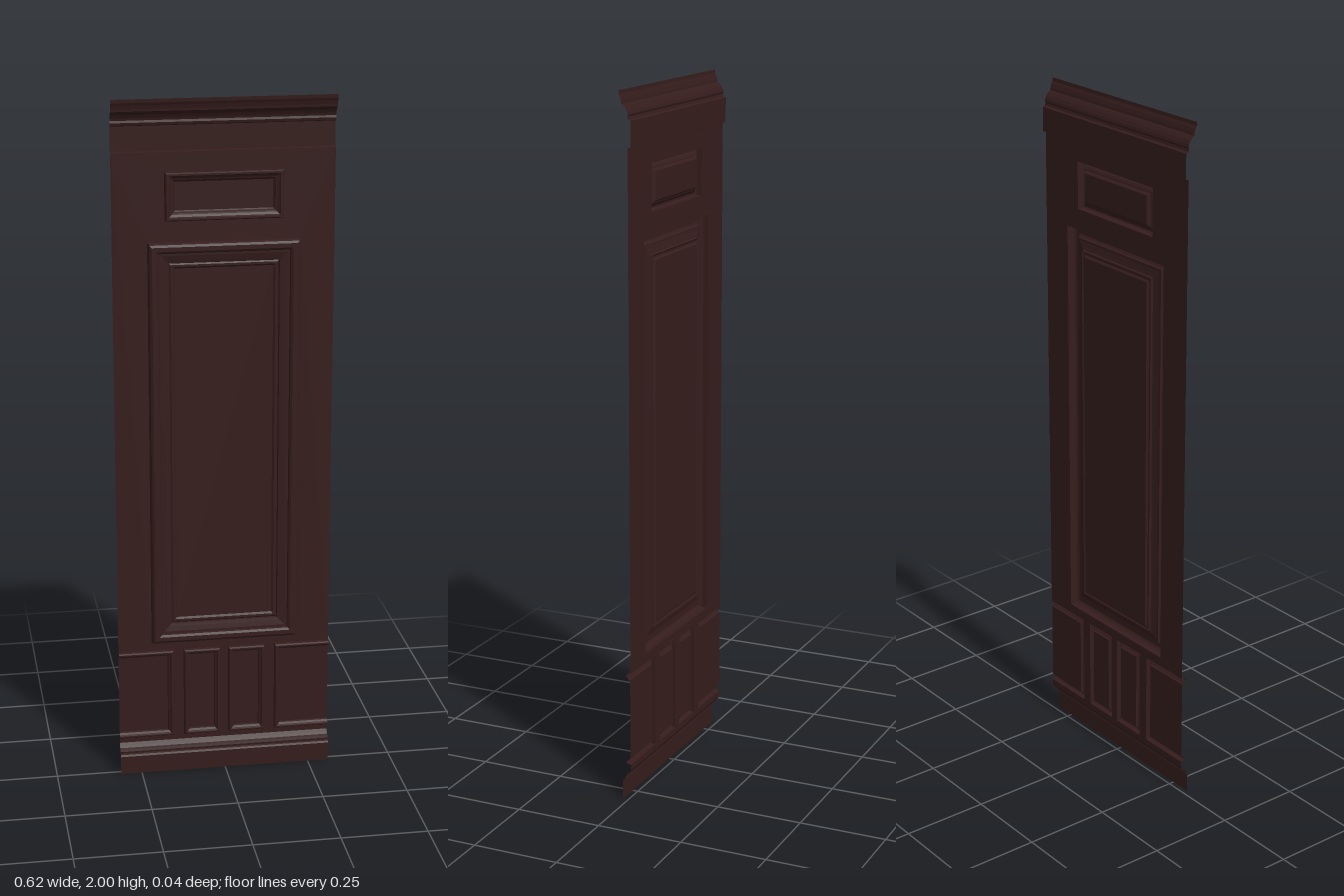
import * as THREE from 'three';

const HALF_WIDTH = 0.312;
const WALL_Z = -0.009;

const wood = new THREE.MeshStandardMaterial({ color: 0x351d1c, side: THREE.DoubleSide, flatShading: true });

function makeMesh(name, geometry) {
  const mesh = new THREE.Mesh(geometry, wood);
  mesh.name = name;
  return mesh;
}

// Builds a thin sheet from four-cornered faces, corners counter-clockwise from the front.
function quadMesh(name, quads) {
  const positions = [];
  for (const [a, b, c, d] of quads) positions.push(...a, ...b, ...c, ...a, ...c, ...d);
  const geometry = new THREE.BufferGeometry();
  geometry.setAttribute('position', new THREE.Float32BufferAttribute(positions, 3));
  geometry.computeVertexNormals();
  return makeMesh(name, geometry);
}

// Full-width moulding: a [y, z] profile listed upwards and drawn along x.
function horizontalMoulding(name, profile) {
  const quads = [];
  for (let i = 0; i < profile.length - 1; i++) {
    const [y0, z0] = profile[i];
    const [y1, z1] = profile[i + 1];
    quads.push([
      [-HALF_WIDTH, y0, z0], [HALF_WIDTH, y0, z0],
      [HALF_WIDTH, y1, z1], [-HALF_WIDTH, y1, z1],
    ]);
  }
  return quadMesh(name, quads);
}

// Corners of a panel's outline moved inwards; sides on the wall's edge stay put.
function insetCorners({ x0, x1, y0, y1 }, [inset, z]) {
  const left = x0 <= -HALF_WIDTH ? x0 : x0 + inset;
  const right = x1 >= HALF_WIDTH ? x1 : x1 - inset;
  return [
    [left, y0 + inset, z], [right, y0 + inset, z],
    [right, y1 - inset, z], [left, y1 - inset, z],
  ];
}

// Mitred frame with an [inset, z] profile, and the flat field inside it.
function framedPanel(name, rect, profile) {
  const rings = profile.map((point) => insetCorners(rect, point));
  const quads = [];
  for (let i = 0; i < rings.length - 1; i++) {
    for (let k = 0; k < 4; k++) {
      const next = (k + 1) % 4;
      const openLeft = k === 3 && rect.x0 <= -HALF_WIDTH;
      const openRight = k === 1 && rect.x1 >= HALF_WIDTH;
      if (openLeft || openRight) continue;
      quads.push([rings[i][k], rings[i][next], rings[i + 1][next], rings[i + 1][k]]);
    }
  }
  const group = new THREE.Group();
  group.name = name;
  group.add(quadMesh(name + 'Frame', quads));
  group.add(quadMesh(name + 'Field', [rings[rings.length - 1]]));
  return group;
}

export function createModel() {
  const model = new THREE.Group();
  model.name = 'wallPanel';

  // Frame profiles, from the outer edge inwards
  const mainProfile = [
    [0, WALL_Z], [0.001, 0.006], [0.004, 0.012], [0.01, 0.016], [0.022, 0.016],
    [0.028, 0.012], [0.03, 0.006], [0.036, 0.006], [0.05, 0.003], [0.058, 0.001],
    [0.06, -0.005], [0.064, -0.002], [0.07, -0.002], [0.075, -0.007],
  ];
  const smallProfile = [
    [0, WALL_Z], [0.001, 0.007], [0.004, 0.011], [0.009, 0.011], [0.012, 0.006],
    [0.018, 0.002], [0.022, 0.001], [0.025, -0.004], [0.028, -0.007],
  ];
  const lowerProfile = [
    [0, WALL_Z], [0.001, 0.001], [0.004, 0.005], [0.008, 0.005],
    [0.011, 0], [0.016, -0.003], [0.018, -0.008],
  ];

  const panels = [
    ['mainPanel', { x0: -0.214, x1: 0.214, y0: 0.408, y1: 1.6 }, mainProfile],
    ['upperPanel', { x0: -0.165, x1: 0.165, y0: 1.66, y1: 1.796 }, smallProfile],
    ['rightLowerPanel', { x0: -HALF_WIDTH, x1: -0.15, y0: 0.108, y1: 0.38 }, lowerProfile],
    ['rightMiddlePanel', { x0: -0.12, x1: -0.012, y0: 0.108, y1: 0.38 }, lowerProfile],
    ['leftMiddlePanel', { x0: 0.012, x1: 0.12, y0: 0.108, y1: 0.38 }, lowerProfile],
    ['leftLowerPanel', { x0: 0.15, x1: HALF_WIDTH, y0: 0.108, y1: 0.38 }, lowerProfile],
  ];
  for (const [name, rect, profile] of panels) model.add(framedPanel(name, rect, profile));

  // Flat wall between the mouldings, notched at its edges and pierced for the panels
  const bottom = 0.09, top = 1.85, low = 0.108, high = 0.38;
  const wall = new THREE.Shape([
    [-HALF_WIDTH, bottom], [HALF_WIDTH, bottom], [HALF_WIDTH, low], [0.15, low],
    [0.15, high], [HALF_WIDTH, high], [HALF_WIDTH, top], [-HALF_WIDTH, top],
    [-HALF_WIDTH, high], [-0.15, high], [-0.15, low], [-HALF_WIDTH, low],
  ].map(([x, y]) => new THREE.Vector2(x, y)));
  for (const [, { x0, x1, y0, y1 }] of panels) {
    if (x0 <= -HALF_WIDTH || x1 >= HALF_WIDTH) continue;
    wall.holes.push(new THREE.Path([
      new THREE.Vector2(x0, y0), new THREE.Vector2(x0, y1),
      new THREE.Vector2(x1, y1), new THREE.Vector2(x1, y0),
    ]));
  }
  const wallMesh = makeMesh('wall', new THREE.ShapeGeometry(wall));
  wallMesh.position.z = WALL_Z;
  model.add(wallMesh);

  // Skirting at the foot
  model.add(horizontalMoulding('skirting', [
    [0, 0.016], [0.055, 0.016], [0.06, 0.013], [0.062, 0.008], [0.068, 0.009],
    [0.074, 0.007], [0.077, 0.001], [0.082, -0.004], [0.09, WALL_Z],
  ]));

  // Frieze and cornice at the head
  model.add(horizontalMoulding('cornice', [
    [1.85, WALL_Z], [1.853, -0.018], [1.922, -0.018], [1.925, -0.011], [1.932, -0.009],
    [1.938, -0.011], [1.945, -0.009], [1.954, -0.004], [1.962, 0.003], [1.965, 0.008],
    [1.972, 0.009], [1.982, 0.012], [1.99, 0.016], [2, 0.017],
  ]));

  return model;
}
